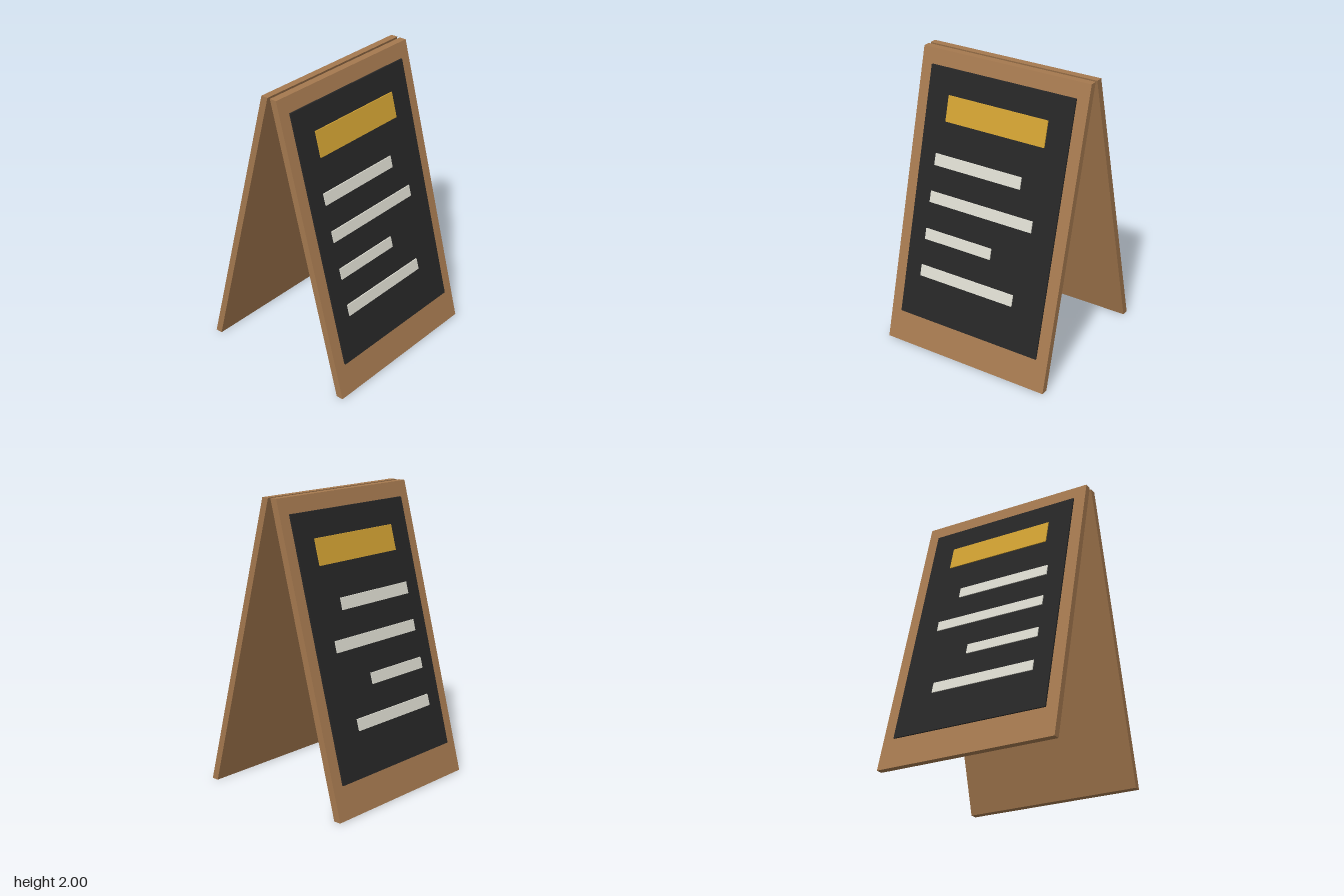
import * as THREE from 'three';

const paint = (name, color) => Object.assign(new THREE.MeshStandardMaterial({ color }), { name });

const TOP_Z = 0.06;   // outer face of a leaf at the top
const LEAN = 0.265;   // outward run per unit of drop

// Slab leaning with the leaf; inner and outer are depths from the leaf's outer face
function slab(name, material, side, [x0, x1], [y0, y1], inner, outer) {
  const geometry = new THREE.BoxGeometry(x1 - x0, y1 - y0, outer - inner);
  geometry.translate((x0 + x1) / 2, (y0 + y1) / 2, side * (inner + outer) / 2);
  const p = geometry.attributes.position;
  for (let i = 0; i < p.count; i++) {
    p.setZ(i, p.getZ(i) + side * (TOP_Z + (2 - p.getY(i)) * LEAN));
  }
  geometry.computeVertexNormals();
  const mesh = new THREE.Mesh(geometry, material);
  mesh.name = name;
  return mesh;
}

export function createModel() {
  const wood = paint('wood', 0xa5794f);
  const slate = paint('slate', 0x262626);
  const gold = paint('gold', 0xcfa032);
  const chalk = paint('chalk', 0xdad9ce);

  // Right end and vertical span of each chalk line
  const lines = [
    [0.25, 1.263, 1.34],
    [0.377, 1.013, 1.087],
    [0.102, 0.76, 0.832],
    [0.314, 0.505, 0.58],
  ];

  const model = new THREE.Group();
  model.name = 'sandwichBoard';
  for (const side of [1, -1]) {
    const leaf = new THREE.Group();
    leaf.name = side > 0 ? 'frontLeaf' : 'backLeaf';
    leaf.add(
      slab('woodPanel', wood, side, [-0.632, 0.632], [0, 2], -0.05, 0),
      slab('chalkboard', slate, side, [-0.548, 0.548], [0.215, 1.897], 0, 0.012),
      slab('titleBar', gold, side, [-0.38, 0.38], [1.56, 1.73], 0.012, 0.0195),
    );
    lines.forEach(([x1, y0, y1], i) => {
      leaf.add(slab(`chalkLine${i + 1}`, chalk, side, [-0.424, x1], [y0, y1], 0.012, 0.0195));
    });
    model.add(leaf);
  }
  return model;
}
